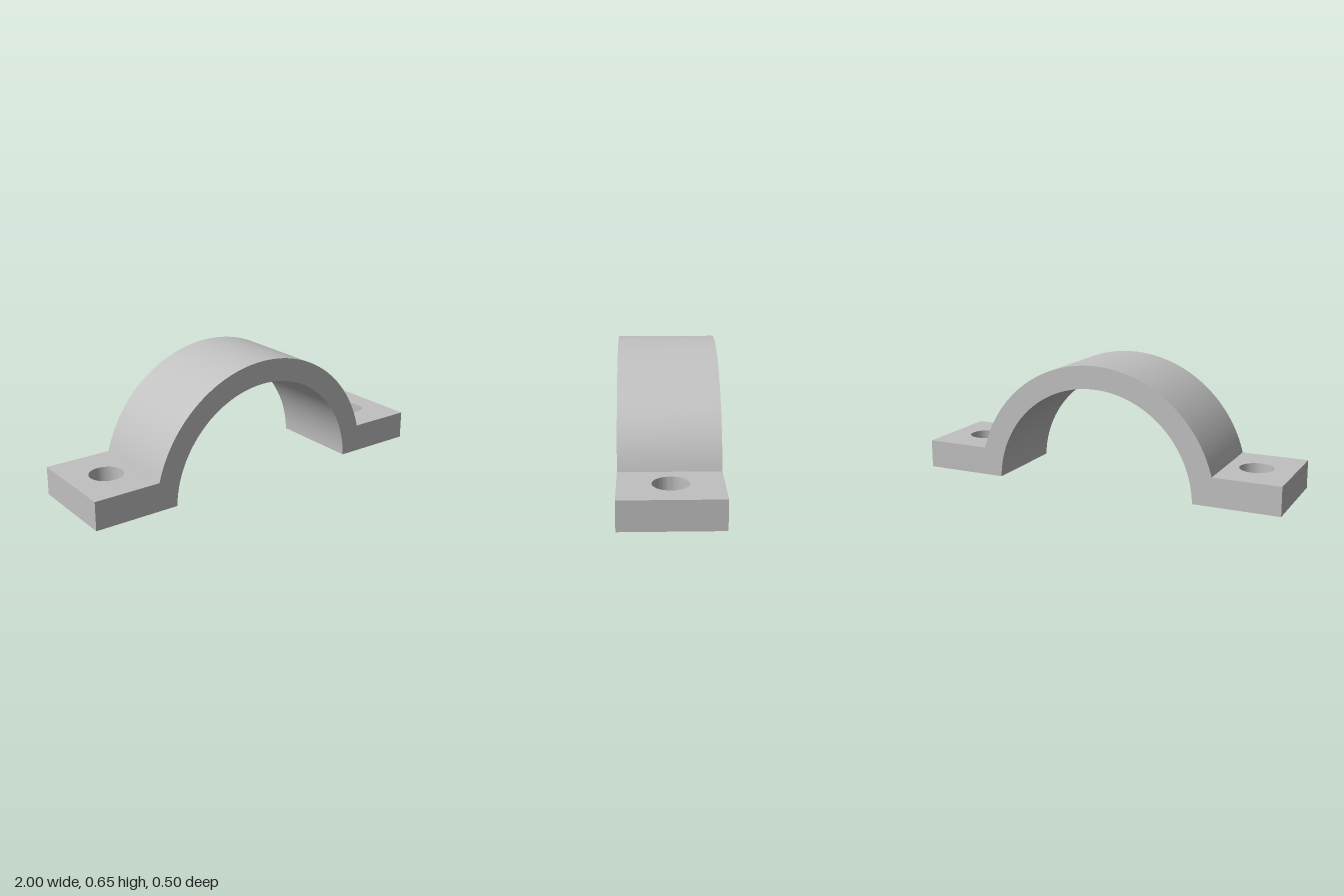
import * as THREE from 'three';
import { toCreasedNormals } from 'three/addons/utils/BufferGeometryUtils.js';

const WIDTH = 0.5;        // size along z
const FOOT = 0.15;        // foot thickness
const CY = -0.02;         // height of the arch centre
const R_OUT = 0.67, R_IN = 0.55;
const JOIN = Math.sqrt(R_OUT ** 2 - (FOOT - CY) ** 2); // x where arch meets foot

// Drop the hidden walls between arch and feet, then smooth the curved faces
function finish(geometry) {
  const source = geometry.index ? geometry.toNonIndexed() : geometry;
  const p = source.attributes.position;
  const kept = [];
  for (let i = 0; i < p.count; i += 3) {
    const hidden = [0, 1, 2].every(k => Math.abs(Math.abs(p.getX(i + k)) - JOIN) < 1e-4);
    if (hidden) continue;
    for (let k = 0; k < 3; k++) kept.push(p.getX(i + k), p.getY(i + k), p.getZ(i + k));
  }
  const clean = new THREE.BufferGeometry();
  clean.setAttribute('position', new THREE.Float32BufferAttribute(kept, 3));
  return toCreasedNormals(clean, 0.5);
}

// Curved strap, with its two ends resting on the ground
function archGeometry() {
  const outer = Math.asin((FOOT - CY) / R_OUT);
  const inner = Math.asin(-CY / R_IN);
  const shape = new THREE.Shape();
  shape.absarc(0, CY, R_OUT, outer, Math.PI - outer, false);
  shape.lineTo(-JOIN, 0);
  shape.absarc(0, CY, R_IN, Math.PI - inner, inner, true);
  shape.lineTo(JOIN, 0);
  const g = new THREE.ExtrudeGeometry(shape, { depth: WIDTH, bevelEnabled: false, curveSegments: 40 });
  return finish(g.translate(0, 0, -WIDTH / 2));
}

// Flat mounting foot with a bolt hole
function footGeometry() {
  const h = WIDTH / 2;
  const shape = new THREE.Shape();
  shape.moveTo(JOIN, -h).lineTo(1, -h).lineTo(1, h).lineTo(JOIN, h).closePath();
  const hole = new THREE.Path();
  hole.absarc(0.8, 0, 0.0875, 0, Math.PI * 2, true);
  shape.holes.push(hole);
  const g = new THREE.ExtrudeGeometry(shape, { depth: FOOT, bevelEnabled: false, curveSegments: 32 });
  return finish(g.rotateX(-Math.PI / 2));
}

export function createModel() {
  const metal = new THREE.MeshStandardMaterial({ color: 0xc0c0c0 });
  metal.name = 'greyMetal';

  const model = new THREE.Group();
  model.name = 'pipeClamp';

  const add = (name, geometry) => {
    const mesh = new THREE.Mesh(geometry, metal);
    mesh.name = name;
    model.add(mesh);
    return mesh;
  };

  add('arch', archGeometry());
  const foot = footGeometry();
  add('leftFoot', foot);
  add('rightFoot', foot).rotation.y = Math.PI;

  return model;
}
